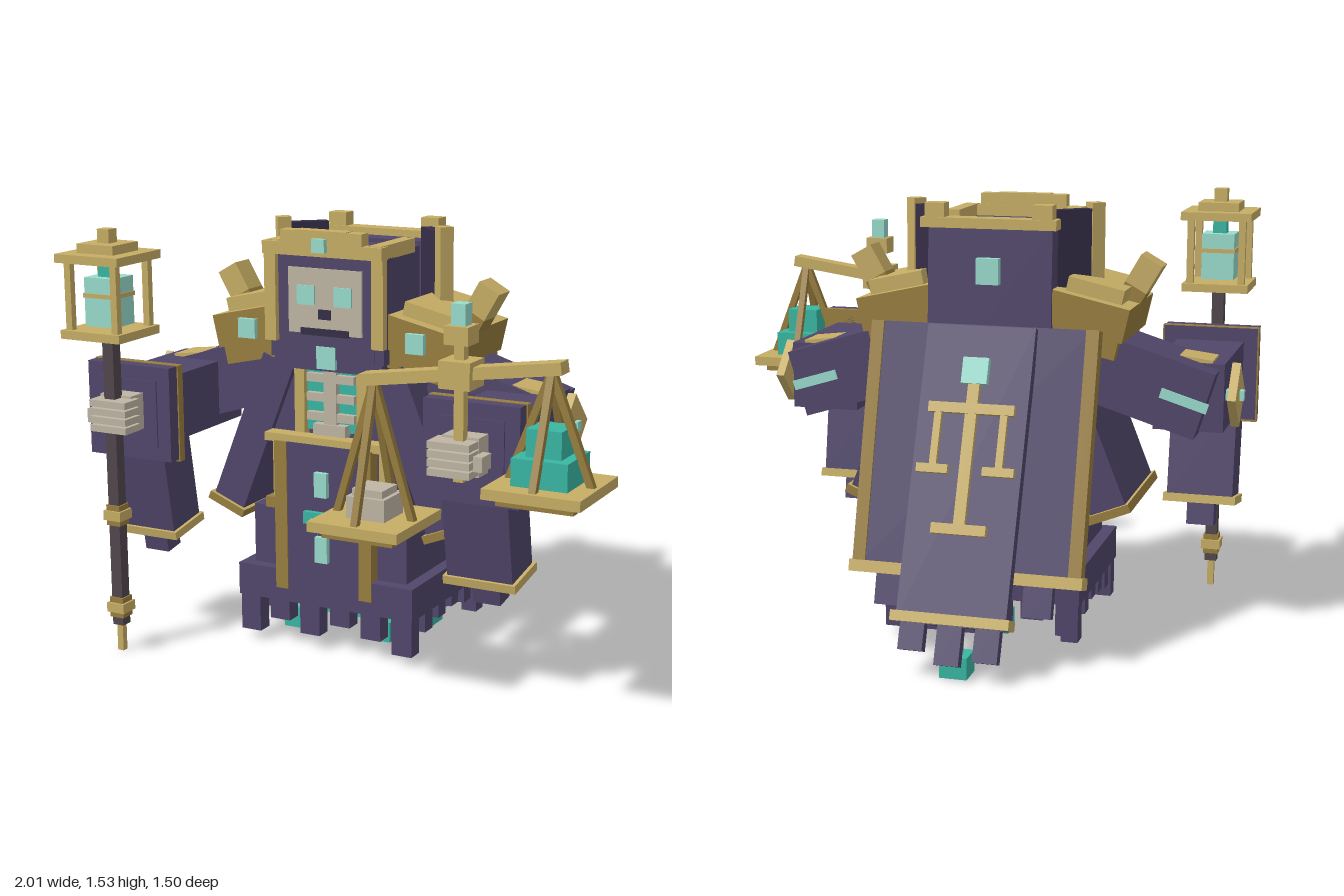
import * as THREE from 'three';

const mat = (name, color) => {
  const m = new THREE.MeshStandardMaterial({ color });
  m.name = name;
  return m;
};

export function createModel() {
  const purple = mat('robe purple', 0x50466a);
  const dark = mat('dark purple', 0x352d47);
  const gold = mat('gold', 0xc6ad65);
  const bronze = mat('dark gold', 0x987d3e);
  const teal = mat('teal', 0x38b6a2);
  const mint = mat('pale teal', 0x98dccc);
  const bone = mat('bone', 0xbeb5a4);
  const wood = mat('pole', 0x51464d);
  // gold on top and underneath, darker around the sides
  const goldTop = [bronze, bronze, gold, bronze, bronze, bronze];

  const root = new THREE.Group();
  const group = (name, parent, x = 0, y = 0, z = 0, rx = 0, ry = 0, rz = 0) => {
    const g = new THREE.Group();
    g.name = name;
    g.position.set(x, y, z);
    g.rotation.set(rx, ry, rz);
    parent.add(g);
    return g;
  };
  // box given by size, centre and rotation
  const box = (parent, name, m, [w, h, d], [x, y, z], [rx, ry, rz] = [0, 0, 0]) => {
    const mesh = new THREE.Mesh(new THREE.BoxGeometry(w, h, d), m);
    mesh.name = name;
    mesh.position.set(x, y, z);
    mesh.rotation.set(rx, ry, rz);
    parent.add(mesh);
    return mesh;
  };
  // square upright slab centred on the parent's axis
  const slab = (parent, name, m, half, y0, y1) =>
    box(parent, name, m, [half * 2, y1 - y0, half * 2], [0, (y0 + y1) / 2, 0]);

  // everything is symmetric about the figure's own axis
  const figure = group('figure', root, -0.155, 0, 0);

  // robe
  const robe = group('robe', figure);
  box(robe, 'hem', purple, [0.71, 0.12, 0.62], [0, 0.23, -0.025]);
  box(robe, 'skirt', purple, [0.62, 0.22, 0.53], [0, 0.4, -0.025]);
  box(robe, 'torso', purple, [0.5, 0.4, 0.42], [0, 0.7, -0.02]);
  box(robe, 'chest', purple, [0.46, 0.24, 0.38], [0, 0.97, 0]);
  box(robe, 'collar', purple, [0.43, 0.1, 0.45], [0, 1.08, 0.015]);
  box(robe, 'collarGem', mint, [0.075, 0.08, 0.02], [0, 1.08, 0.245]);

  // ragged fringe around the hem
  const drops = [0.14, 0.08, 0.12, 0.07, 0.1, 0.14];
  const sideDrops = [0.14, 0.07, 0.05, 0.06, 0.08, 0.14];
  for (let i = 0; i < 6; i++) {
    const x = -0.31 + i * 0.124, z = -0.3 + i * 0.11;
    const a = drops[i], b = drops[(i + 2) % 6], c = sideDrops[i];
    box(robe, 'frontFringe', purple, [0.08, a, 0.06], [x, 0.175 - a / 2, 0.25]);
    box(robe, 'backFringe', purple, [0.08, b, 0.06], [x, 0.175 - b / 2, -0.3]);
    for (const s of [-1, 1])
      box(robe, 'sideFringe', purple, [0.06, c, 0.06], [s * 0.32, 0.175 - c / 2, z]);
  }
  // spirit flames beneath
  const flame = (x, z, w, y = 0) => {
    box(robe, 'flame', teal, [w, 0.075, w], [x, y + 0.0375, z]);
    box(robe, 'flameTip', mint, [w * 0.4, 0.05, w * 0.4], [x, y + 0.1, z]);
  };
  flame(-0.18, 0.125, 0.1, 0.03);
  flame(0.18, -0.18, 0.1);
  flame(-0.03, -0.19, 0.09, 0.01);
  flame(0.16, 0.12, 0.09, 0.03);
  flame(-0.01, -0.65, 0.095);
  box(robe, 'innerFlame', teal, [0.2, 0.09, 0.2], [0, 0.135, 0.02]);

  // front tabard
  const tabard = group('tabard', figure);
  box(tabard, 'cloth', purple, [0.29, 0.55, 0.035], [0, 0.495, 0.268]);
  box(tabard, 'topTrim', gold, [0.48, 0.03, 0.06], [0, 0.78, 0.25]);
  for (const s of [-1, 1]) {
    box(tabard, 'edge', bronze, [0.05, 0.55, 0.05], [s * 0.17, 0.495, 0.265]);
    box(tabard, 'tassel', gold, [0.025, 0.24, 0.025], [s * 0.215, 0.65, 0.23]);
    box(tabard, 'tasselEnd', bronze, [0.06, 0.04, 0.05], [s * 0.22, 0.53, 0.235]);
    box(tabard, 'ribFrame', gold, [0.04, 0.25, 0.04], [s * 0.125, 0.91, 0.205]);
  }
  box(tabard, 'gem', mint, [0.05, 0.09, 0.03], [0, 0.63, 0.29]);
  box(tabard, 'gem', teal, [0.14, 0.045, 0.03], [0, 0.505, 0.29]);
  box(tabard, 'gemGlint', mint, [0.08, 0.02, 0.006], [0, 0.495, 0.306]);
  box(tabard, 'gem', mint, [0.05, 0.095, 0.03], [0, 0.39, 0.29]);

  // glowing ribcage
  const ribs = group('ribcage', figure);
  box(ribs, 'glow', teal, [0.21, 0.23, 0.01], [0, 0.92, 0.197]);
  box(ribs, 'spine', bone, [0.05, 0.24, 0.03], [0, 0.91, 0.212]);
  for (const y of [0.86, 0.93, 1.0]) box(ribs, 'rib', bone, [0.19, 0.03, 0.03], [0, y, 0.21]);
  box(ribs, 'pelvis', bone, [0.13, 0.04, 0.04], [0, 0.815, 0.215]);

  // head
  const head = group('head', figure);
  box(head, 'hood', purple, [0.38, 0.37, 0.35], [0, 1.26, 0.075]);
  box(head, 'face', bone, [0.29, 0.23, 0.01], [0, 1.28, 0.253]);
  box(head, 'nose', dark, [0.05, 0.035, 0.008], [0, 1.235, 0.258]);
  box(head, 'mouth', dark, [0.19, 0.025, 0.008], [0, 1.172, 0.258]);
  for (const s of [-1, 1]) {
    box(head, 'eye', mint, [0.07, 0.068, 0.008], [s * 0.073, 1.3, 0.26]);
    box(head, 'hoodSide', gold, [0.045, 0.32, 0.03], [s * 0.212, 1.29, 0.257]);
    box(head, 'sideRail', gold, [0.05, 0.05, 0.26], [s * 0.2, 1.462, 0.135]);
    box(head, 'sideWall', purple, [0.04, 0.37, 0.25], [s * 0.205, 1.255, 0.12]);
    box(head, 'crownStud', gold, [0.06, 0.045, 0.05], [s * 0.13, 1.505, 0.26]);
    // flared collar wings
    const wing = group('collarWing', head, s * 0.265, 1.28, -0.075, 0, s * 0.85, 0);
    box(wing, 'wingPanel', dark, [0.04, 0.46, 0.17], [0, 0, 0]);
    box(wing, 'wingPostTop', gold, [0.05, 0.26, 0.05], [0, 0.12, 0.08]);
    box(wing, 'wingPostFoot', bronze, [0.05, 0.24, 0.05], [0, -0.13, 0.08]);
    box(head, 'backStud', gold, [0.07, 0.055, 0.06], [s * 0.19, 1.507, -0.215]);
  }
  box(head, 'brow', gold, [0.47, 0.045, 0.05], [0, 1.462, 0.258]);
  box(head, 'browTop', gold, [0.2, 0.05, 0.05], [0, 1.505, 0.26]);
  box(head, 'crownGem', mint, [0.05, 0.048, 0.03], [0, 1.48, 0.29]);
  box(head, 'backPlate', purple, [0.44, 0.64, 0.1], [0, 1.14, -0.18], [0.04, 0, 0]);
  box(head, 'backTrim', gold, [0.48, 0.035, 0.07], [0, 1.468, -0.215]);
  box(head, 'backGem', mint, [0.08, 0.09, 0.03], [0, 1.305, -0.24]);

  // layered cape, hanging outward from the shoulders
  const cape = group('wideCape', figure, 0, 1.12, -0.265, 0.28);
  box(cape, 'cloth', purple, [0.76, 0.84, 0.045], [0, -0.42, 0]);
  box(cape, 'hem', gold, [0.82, 0.04, 0.085], [0, -0.85, 0]);
  for (const s of [-1, 1]) {
    box(cape, 'edge', bronze, [0.045, 0.84, 0.06], [s * 0.38, -0.42, 0]);
    box(cape, 'tag', purple, [0.1, 0.11, 0.04], [s * 0.26, -0.92, -0.015]);
  }
  const tail = group('narrowCape', figure, 0, 1.12, -0.295, 0.388);
  box(tail, 'cloth', purple, [0.38, 1.02, 0.045], [0, -0.51, 0]);
  box(tail, 'hem', gold, [0.41, 0.035, 0.085], [0, -1.0, 0]);
  [[-0.13, 0.13], [0, 0.15], [0.13, 0.11]].forEach(([x, h]) =>
    box(tail, 'tag', purple, [0.085, h, 0.04], [x, -1.0 - h / 2, 0]));
  box(tail, 'gem', mint, [0.09, 0.09, 0.04], [0, -0.16, -0.03]);
  box(tail, 'emblemStem', gold, [0.04, 0.5, 0.03], [0, -0.45, -0.03]);
  box(tail, 'emblemFoot', gold, [0.19, 0.035, 0.04], [0, -0.7, -0.03]);
  box(tail, 'emblemBeam', gold, [0.3, 0.035, 0.035], [0, -0.29, -0.03]);
  for (const s of [-1, 1]) {
    box(tail, 'emblemSide', gold, [0.025, 0.22, 0.025], [s * 0.115, -0.39, -0.03]);
    box(tail, 'emblemSideFoot', gold, [0.11, 0.03, 0.035], [s * 0.115, -0.5, -0.03]);
  }

  for (const s of [-1, 1]) {
    // hanging side flap
    const flap = group('sideFlap', figure, s * 0.44, 0.487, -0.025, 0, 0, s * 0.38);
    box(flap, 'cloth', purple, [0.13, 0.6, 0.48], [0, 0.3, 0]);
    box(flap, 'hem', goldTop, [0.155, 0.03, 0.51], [0, 0, 0]);

    // pauldron
    const pad = group('pauldron', figure, s * 0.335, 1.14, 0, 0, 0, -s * 0.22);
    box(pad, 'plate', goldTop, [0.28, 0.12, 0.43], [0, 0.02, 0]);
    box(pad, 'skirt', bronze, [0.25, 0.07, 0.41], [0, -0.07, 0]);
    box(pad, 'cap', gold, [0.2, 0.06, 0.33], [0, 0.1, 0]);
    const horn = group('horn', figure, s * 0.48, 1.25, 0, 0, 0, -s * 0.52);
    box(horn, 'hornTip', gold, [0.085, 0.11, 0.095], [0, 0.045, 0]);
    box(horn, 'hornBase', bronze, [0.085, 0.09, 0.095], [0, -0.055, 0]);
    box(figure, 'shoulderGem', mint, [0.07, 0.07, 0.03], [s * 0.335, 1.155, 0.22]);

    // arm
    const arm = group('arm', figure, s * 0.67, 0, 0);
    box(arm, 'upperArm', purple, [0.44, 0.24, 0.25], [-s * 0.14, 0.92, -0.03], [0, 0, -s * 0.3]);
    box(arm, 'armBand', gold, [0.26, 0.03, 0.13], [-s * 0.05, 1.0, 0.015], [0, 0, -s * 0.12]);
    box(arm, 'forearm', purple, [0.245, 0.24, 0.48], [0, 0.87, 0.18]);
    box(arm, 'elbowRod', mint, [0.3, 0.035, 0.035], [s * 0.035, 0.875, 0]);
    box(arm, 'elbowStrip', mint, [0.17, 0.035, 0.009], [s * 0.0, 0.875, -0.157], [0, 0, -s * 0.3]);
    box(arm, 'elbowPlate', gold, [0.03, 0.16, 0.16], [s * 0.155, 0.875, 0], [Math.PI / 4, 0, 0]);
    // cuff and drooping sleeve
    box(arm, 'cuff', purple, [0.345, 0.34, 0.08], [0, 0.87, 0.455]);
    box(arm, 'cuffTrim', bronze, [0.355, 0.35, 0.03], [0, 0.867, 0.43]);
    box(arm, 'cuffInset', purple, [0.24, 0.24, 0.01], [0, 0.87, 0.496]);
    const sleeve = group('sleeve', arm, 0, 0.78, 0.39, 0.17);
    box(sleeve, 'cloth', purple, [0.24, 0.38, 0.17], [0, -0.18, 0]);
    box(sleeve, 'hem', gold, [0.265, 0.03, 0.19], [0, -0.37, 0]);
    box(sleeve, 'tag', purple, [0.1, 0.1, 0.08], [0, -0.42, 0]);
    // gripping hand
    box(arm, 'palm', bone, [0.13, 0.13, 0.08], [0, 0.88, 0.535]);
    for (let i = 0; i < 4; i++)
      box(arm, 'finger', bone, [0.15, 0.024, 0.09], [-s * 0.012, 0.835 + i * 0.03, 0.6]);
    box(arm, 'thumb', bone, [0.05, 0.05, 0.07], [s * 0.07, 0.87, 0.58]);
  }

  // lantern staff
  const staff = group('lanternStaff', figure, -0.67, 0, 0.59);
  slab(staff, 'tip', gold, 0.012, 0, 0.11);
  slab(staff, 'pole', wood, 0.022, 0.1, 1.17);
  for (const y of [0.15, 0.495]) {
    slab(staff, 'ring', gold, 0.036, y, y + 0.035);
    slab(staff, 'ringCore', bronze, 0.028, y - 0.02, y + 0.055);
  }
  slab(staff, 'lanternBase', gold, 0.122, 1.16, 1.19);
  slab(staff, 'glass', mint, 0.06, 1.2, 1.37);
  slab(staff, 'glassTop', teal, 0.025, 1.37, 1.42);
  slab(staff, 'glassBand', gold, 0.064, 1.3, 1.315);
  slab(staff, 'lanternRoof', gold, 0.13, 1.425, 1.455);
  slab(staff, 'roofStep', gold, 0.075, 1.455, 1.487);
  slab(staff, 'finial', gold, 0.024, 1.487, 1.535);
  for (const x of [-0.095, 0.095]) for (const z of [-0.095, 0.095])
    box(staff, 'lanternPost', gold, [0.025, 0.24, 0.025], [x, 1.305, z]);

  // balance scales
  const scales = group('scales', figure, 0.675, 0, 0.585);
  slab(scales, 'stem', gold, 0.017, 0.8, 1.25);
  slab(scales, 'hub', gold, 0.055, 1.11, 1.2);
  slab(scales, 'knob', gold, 0.042, 1.25, 1.31);
  slab(scales, 'topGem', mint, 0.025, 1.31, 1.38);
  box(scales, 'beam', gold, [0.71, 0.04, 0.065], [0, 1.155, 0], [0, 0, 0.145]);
  for (const [x, top, y] of [[-0.31, 1.1, 0.61], [0.31, 1.19, 0.8]]) {
    const pan = group('pan', scales, x, 0, 0);
    slab(pan, 'panRim', gold, 0.165, y, y + 0.035);
    slab(pan, 'panBase', bronze, 0.13, y - 0.025, y);
    slab(pan, 'panFoot', gold, 0.045, y - 0.05, y - 0.025);
    // four rods leaning from the beam to the rim
    const rise = top - y - 0.03, reach = 0.14;
    for (let i = 0; i < 4; i++) {
      const turn = group('hanger', pan, 0, y + 0.03 + rise / 2, 0, 0, i * Math.PI / 2, 0);
      box(turn, 'rod', bronze, [0.024, Math.hypot(rise, reach), 0.024],
        [reach / 2, 0, 0], [0, 0, Math.atan2(reach, rise)]);
    }
    if (x > 0) {
      slab(pan, 'soul', teal, 0.095, y + 0.035, y + 0.125);
      slab(pan, 'soulTop', teal, 0.06, y + 0.125, y + 0.215);
    } else {
      slab(pan, 'stone', bone, 0.07, y + 0.035, y + 0.11);
      slab(pan, 'stoneTop', bone, 0.055, y + 0.11, y + 0.135);
    }
  }
  return root;
}
